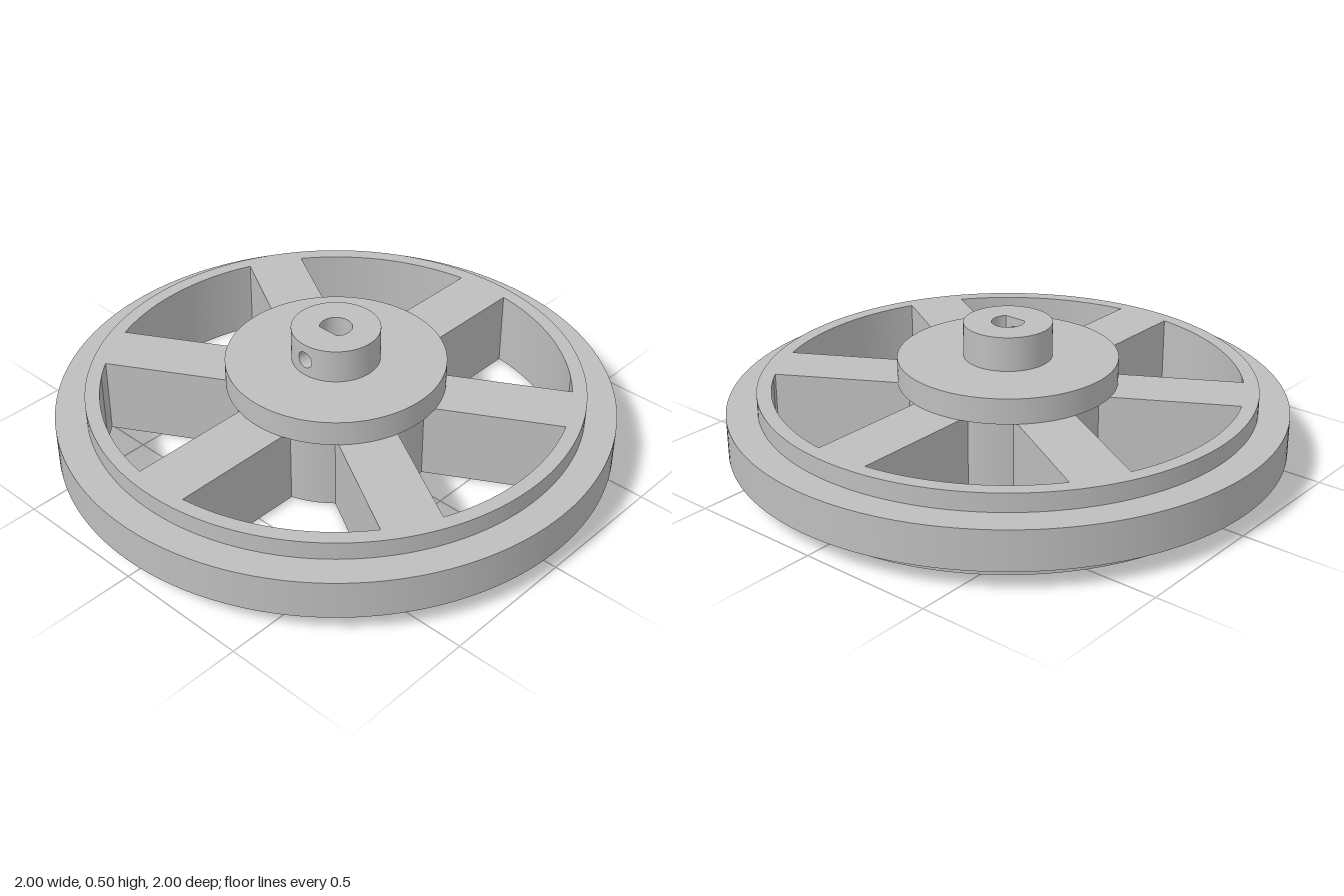
import * as THREE from 'three';
import { toCreasedNormals } from 'three/addons/utils/BufferGeometryUtils.js';

const BORE_R = 0.058, FLAT_Z = 0.04;          // D-shaped shaft bore
const FLAT_HALF = Math.sqrt(BORE_R ** 2 - FLAT_Z ** 2);
const BOSS_R = 0.158, BOSS_Y0 = 0.38, BOSS_Y1 = 0.505;
const SCREW_R = 0.031, SCREW_Y = (BOSS_Y0 + BOSS_Y1) / 2;
const HALF_H = (BOSS_Y1 - BOSS_Y0) / 2;

const grey = new THREE.MeshStandardMaterial({ color: 0xbebebe, side: THREE.DoubleSide });
grey.name = 'grey';

function disc(r) {
  return new THREE.Shape().absarc(0, 0, r, 0, Math.PI * 2, false);
}

// Round bore with a flat towards +z (shape y is -z)
function boreHole() {
  const a = Math.atan2(-FLAT_Z, FLAT_HALF);
  const p = new THREE.Path();
  p.absarc(0, 0, BORE_R, a, Math.PI - a, false);
  p.closePath();
  return p;
}

// Opening between two spokes
function windowHole(mid, rIn, rOut, spokeHalf) {
  const edge = (r) => Math.PI / 6 - Math.asin(spokeHalf / r);
  const p = new THREE.Path();
  p.absarc(0, 0, rOut, mid - edge(rOut), mid + edge(rOut), false);
  p.absarc(0, 0, rIn, mid + edge(rIn), mid - edge(rIn), true);
  p.closePath();
  return p;
}

// Horizontal slab extruded from y0 to y1
function slab(shape, y0, y1, curveSegments = 96) {
  const g = new THREE.ExtrudeGeometry(shape, { depth: y1 - y0, bevelEnabled: false, curveSegments });
  g.rotateX(-Math.PI / 2);
  g.translate(0, y0, 0);
  return toCreasedNormals(g, 0.5);
}

// Grid surface from point(u, v), u round the loop, v across it
function loopSurface(point, nu, nv) {
  const pos = [], idx = [];
  for (let j = 0; j <= nv; j++)
    for (let i = 0; i <= nu; i++) pos.push(...point(i / nu * Math.PI * 2, j / nv));
  for (let j = 0; j < nv; j++)
    for (let i = 0; i < nu; i++) {
      const a = j * (nu + 1) + i, b = a + nu + 1;
      idx.push(a, b, a + 1, b, b + 1, a + 1);
    }
  const g = new THREE.BufferGeometry();
  g.setAttribute('position', new THREE.Float32BufferAttribute(pos, 3));
  g.setIndex(idx);
  return toCreasedNormals(g, 0.5);
}

// Rectangle with the screw hole in its middle, bent by wrap(x, y)
function piercedPanel(halfW, wrap) {
  return loopSurface((t, v) => {
    const c = Math.cos(t), s = Math.sin(t), k = 1 / Math.max(Math.abs(c), Math.abs(s));
    const x = THREE.MathUtils.lerp(SCREW_R * c, halfW * k * c, v);
    const y = THREE.MathUtils.lerp(SCREW_R * s, HALF_H * k * s, v);
    return wrap(x, y);
  }, 32, 4);
}

export function createModel() {
  const model = new THREE.Group();
  const add = (parent, name, geometry) => {
    const m = new THREE.Mesh(geometry, grey);
    m.name = name;
    parent.add(m);
  };

  // Spoked wheel body
  const body = disc(0.89);
  for (let i = 0; i < 6; i++) body.holes.push(windowHole(i * Math.PI / 3, 0.355, 0.838, 0.105));
  body.holes.push(boreHole());
  add(model, 'spokedWheel', slab(body, 0, 0.287));

  // Raised outer band
  const band = disc(1);
  band.holes.push(new THREE.Path().absarc(0, 0, 0.889, 0, Math.PI * 2, true));
  add(model, 'outerBand', slab(band, 0.075, 0.22));

  // Hub plate on the spokes
  const plate = disc(0.393);
  plate.holes.push(boreHole());
  add(model, 'hubPlate', slab(plate, 0.287, BOSS_Y0));

  // Shaft boss with a set screw hole at the front
  const boss = new THREE.Group();
  boss.name = 'shaftBoss';
  model.add(boss);

  const top = disc(BOSS_R);
  top.holes.push(boreHole());
  const topGeo = new THREE.ShapeGeometry(top, 96);
  topGeo.rotateX(-Math.PI / 2);
  topGeo.translate(0, BOSS_Y1, 0);
  add(boss, 'bossTop', topGeo);

  const half = HALF_H / BOSS_R;
  const wall = new THREE.CylinderGeometry(BOSS_R, BOSS_R, HALF_H * 2, 72, 1, true, half, Math.PI * 2 - half * 2);
  wall.translate(0, SCREW_Y, 0);
  add(boss, 'bossWall', wall);

  const onWall = (x, y) => [BOSS_R * Math.sin(x / BOSS_R), SCREW_Y + y, BOSS_R * Math.cos(x / BOSS_R)];
  const onFlat = (x, y) => [x, SCREW_Y + y, FLAT_Z];
  add(boss, 'bossFrontWall', piercedPanel(HALF_H, onWall));
  add(boss, 'boreFlat', piercedPanel(FLAT_HALF, onFlat));

  // Screw hole tunnel from the bore to the outer wall
  add(boss, 'screwHole', loopSurface((t, v) => {
    const x = SCREW_R * Math.cos(t), y = SCREW_R * Math.sin(t);
    const a = onFlat(x, y), b = onWall(x, y);
    return a.map((n, i) => THREE.MathUtils.lerp(n, b[i], v));
  }, 32, 1));

  // Round part of the bore inside the boss
  const start = Math.atan2(FLAT_HALF, FLAT_Z);
  const bore = new THREE.CylinderGeometry(BORE_R, BORE_R, HALF_H * 2, 48, 1, true, start, Math.PI * 2 - start * 2);
  bore.translate(0, SCREW_Y, 0);
  add(boss, 'boreWall', bore);

  return model;
}
